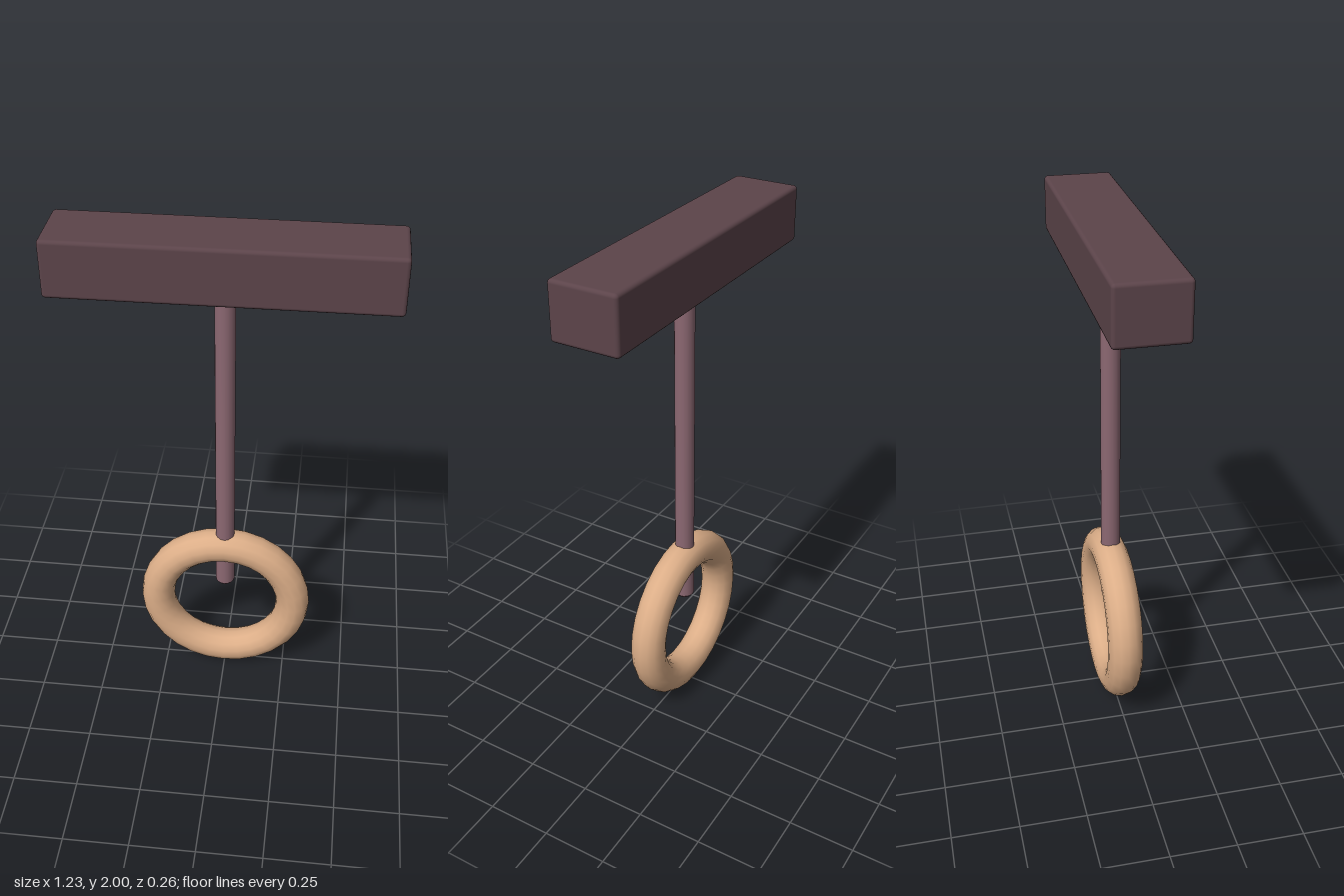
import * as THREE from 'three';
import { RoundedBoxGeometry } from 'three/addons/geometries/RoundedBoxGeometry.js';

export function createModel() {
  const group = new THREE.Group();
  const material = (name, color) => {
    const m = new THREE.MeshStandardMaterial({ color });
    m.name = name;
    return m;
  };
  const darkWood = material('darkWood', 0x5c444a);
  const mauve = material('mauve', 0x8c6872);
  const paleWood = material('paleWood', 0xdcae88);

  const add = (name, geometry, mat, y) => {
    const mesh = new THREE.Mesh(geometry, mat);
    mesh.name = name;
    mesh.position.y = y;
    group.add(mesh);
  };

  // Ceiling beam with softly rounded edges
  add('beam', new RoundedBoxGeometry(1.226, 0.213, 0.26, 2, 0.014), darkWood, 1.8935);

  // Hanging rod: bevelled lower end, top sunk into the beam
  const rodProfile = [[0, 0.445], [0.03, 0.445], [0.038, 0.455], [0.038, 1.8], [0, 1.8]]
    .map(([r, y]) => new THREE.Vector2(r, y));
  const flatEnds = [];
  // Repeat the corners so the side stays straight-shaded and the ends stay flat
  rodProfile.forEach((p, i) => {
    flatEnds.push(p);
    if (i > 0 && i < rodProfile.length - 1) flatEnds.push(p.clone());
  });
  add('rod', new THREE.LatheGeometry(flatEnds, 16), mauve, 0);

  // Grip ring facing the front
  add('ring', new THREE.TorusGeometry(0.282, 0.069, 14, 28), paleWood, 0.351);

  return group;
}
